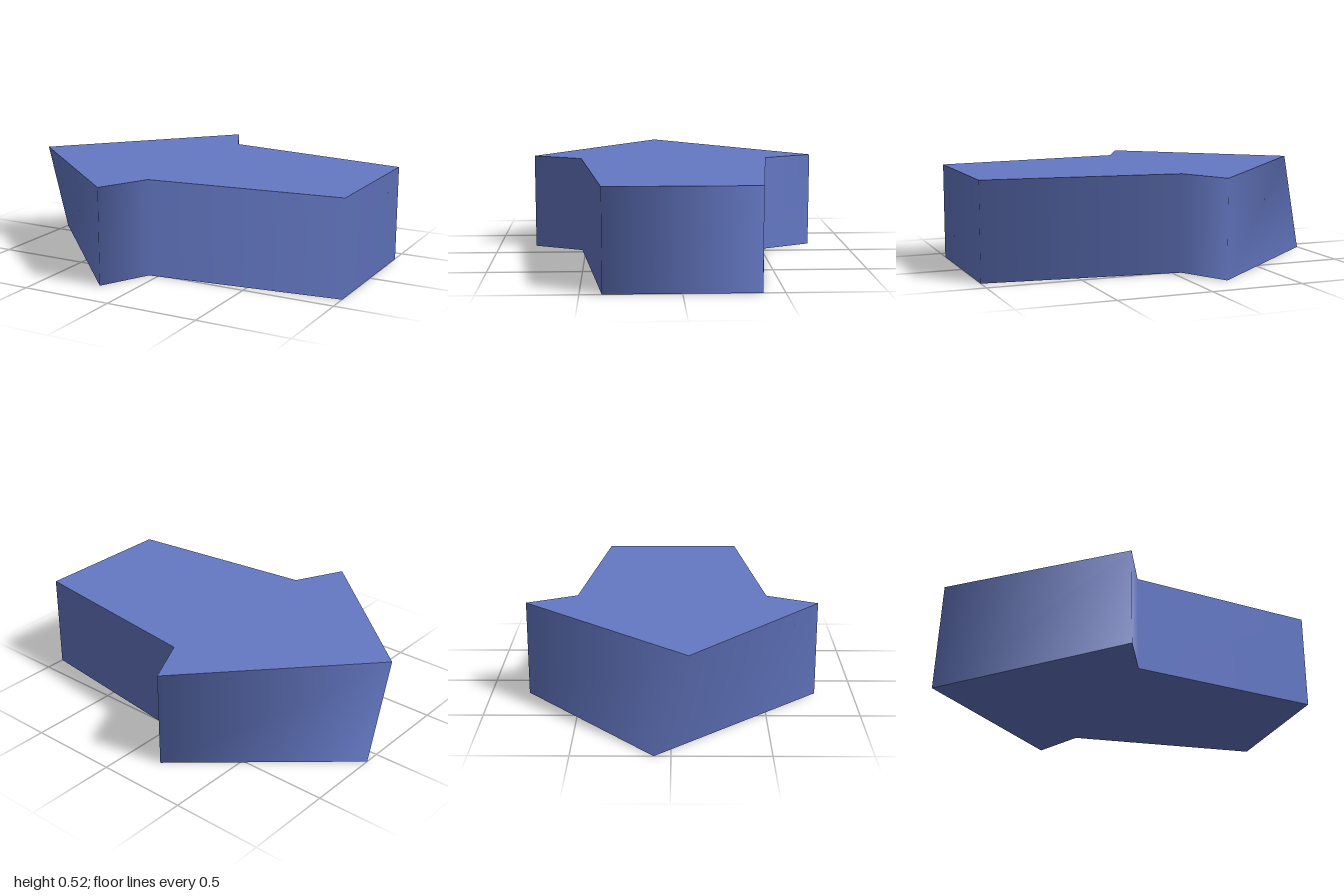
import * as THREE from 'three';

const HEIGHT = 0.525;
const TWIST = 0.085; // sideways offset of the tip, opposite at top and bottom

// Arrow outline as [x, z], from the tip round by the front
const outline = (tipZ) => {
  const half = [[-0.185, 0.79], [-0.05, 0.52], [1, 0.39]];
  return [[-1, tipZ], ...half, ...half.map(([x, z]) => [x, -z]).reverse()];
};

// Flat cap, facing up (side = 1) or down (side = -1)
function capGeometry(points, y, side) {
  const shape = new THREE.Shape(points.map(([x, z]) => new THREE.Vector2(x, -side * z)));
  return new THREE.ShapeGeometry(shape).rotateX(-side * Math.PI / 2).translate(0, y, 0);
}

// Band of walls with normals smoothed by corner angle
function wallGeometry(bottom, top) {
  const n = bottom.length;
  const verts = [
    ...bottom.map(([x, z]) => new THREE.Vector3(x, 0, z)),
    ...top.map(([x, z]) => new THREE.Vector3(x, HEIGHT, z)),
  ];
  const normals = verts.map(() => new THREE.Vector3());
  const index = [];
  for (let i = 0; i < n; i++) {
    const j = (i + 1) % n;
    for (const tri of [[i, j, n + j], [i, n + j, n + i]]) {
      index.push(...tri);
      const face = new THREE.Triangle(...tri.map((k) => verts[k])).getNormal(new THREE.Vector3());
      tri.forEach((k, c) => {
        const a = verts[tri[(c + 1) % 3]].clone().sub(verts[k]);
        const b = verts[tri[(c + 2) % 3]].clone().sub(verts[k]);
        normals[k].addScaledVector(face, a.angleTo(b));
      });
    }
  }
  const geometry = new THREE.BufferGeometry().setFromPoints(verts);
  const flat = normals.flatMap((v) => v.normalize().toArray());
  geometry.setAttribute('normal', new THREE.Float32BufferAttribute(flat, 3));
  geometry.setIndex(index);
  return geometry;
}

export function createModel() {
  const group = new THREE.Group();
  group.name = 'arrowBlock';
  const blue = new THREE.MeshStandardMaterial({ color: 0x6478c4 });
  blue.name = 'blue';

  const add = (name, geometry) => {
    const mesh = new THREE.Mesh(geometry, blue);
    mesh.name = name;
    group.add(mesh);
  };

  const top = outline(TWIST);
  const bottom = outline(-TWIST);
  add('topFace', capGeometry(top, HEIGHT, 1));
  add('bottomFace', capGeometry(bottom, 0, -1));
  add('sideWalls', wallGeometry(bottom, top));
  return group;
}
